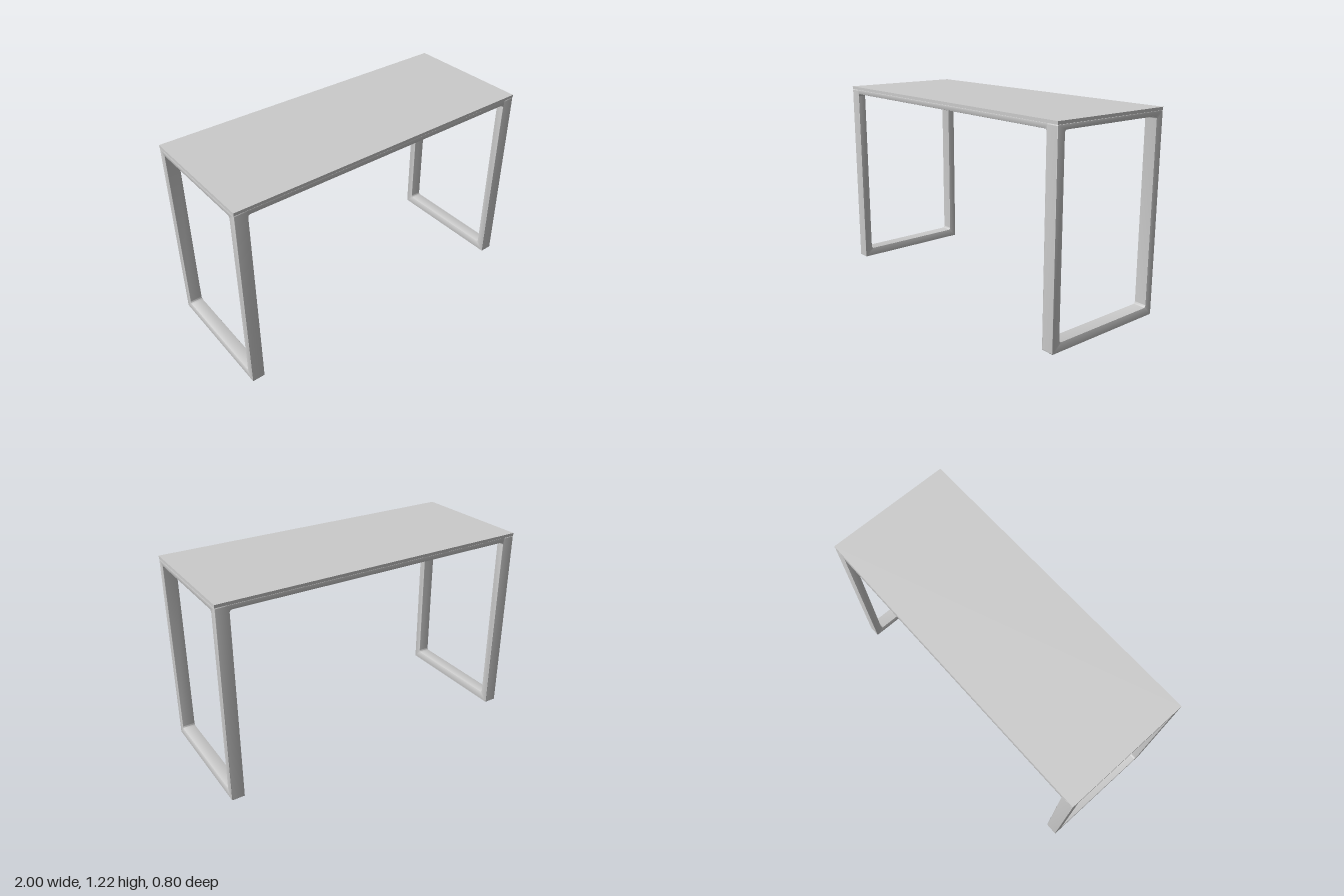
import * as THREE from 'three';
import { toCreasedNormals } from 'three/addons/utils/BufferGeometryUtils.js';

const W = 2, D = 0.8, H = 1.22;         // overall size
const topY = 1.202;                     // underside of the table top
const legX = 0.08, legZ = 0.05;         // section of the steel profile
const railY = 1.173;                    // underside of the upper rails
const bevel = 0.004, fillet = 0.015;

// Rounded rectangle outline, usable as a shape or a hole
function roundedRect(path, x0, y0, x1, y1, r) {
  path.moveTo(x0 + r, y0);
  path.lineTo(x1 - r, y0);
  path.absarc(x1 - r, y0 + r, r, -Math.PI / 2, 0);
  path.lineTo(x1, y1 - r);
  path.absarc(x1 - r, y1 - r, r, 0, Math.PI / 2);
  path.lineTo(x0 + r, y1);
  path.absarc(x0 + r, y1 - r, r, Math.PI / 2, Math.PI);
  path.lineTo(x0, y0 + r);
  path.absarc(x0 + r, y0 + r, r, Math.PI, Math.PI * 1.5);
  return path;
}

// Extrusion centred on its depth, with softened edges kept inside the outline
function extrude(shape, depth) {
  const g = new THREE.ExtrudeGeometry(shape, {
    depth: depth - 2 * bevel, bevelThickness: bevel, bevelSize: bevel,
    bevelOffset: -bevel, bevelSegments: 2, curveSegments: 6,
  });
  g.translate(0, 0, -depth / 2 + bevel);
  return toCreasedNormals(g, 0.6);
}

export function createModel() {
  const group = new THREE.Group();
  const material = new THREE.MeshStandardMaterial({ color: 0xcccccc });
  const add = (name, geometry, x, y, z) => {
    const mesh = new THREE.Mesh(geometry, material);
    mesh.name = name;
    mesh.position.set(x, y, z);
    group.add(mesh);
    return mesh;
  };

  // Thin flat top
  add('tableTop', new THREE.BoxGeometry(W, H - topY, D), 0, (H + topY) / 2, 0);

  // Closed leg frame: two legs, floor rail and upper rail in one loop
  const frame = roundedRect(new THREE.Shape(), -D / 2, 0, D / 2, topY, 0.006);
  frame.holes.push(roundedRect(new THREE.Path(),
    -D / 2 + legZ, 0.055, D / 2 - legZ, railY, fillet));
  const frameGeometry = extrude(frame, legX);
  frameGeometry.rotateY(Math.PI / 2);

  // Long rail with filleted ends running into the legs
  const inner = W / 2 - legX, end = inner + 0.01;
  const rail = new THREE.Shape();
  rail.moveTo(-end, topY);
  rail.lineTo(-end, railY - fillet);
  rail.lineTo(-inner, railY - fillet);
  rail.absarc(-inner + fillet, railY - fillet, fillet, Math.PI, Math.PI / 2, true);
  rail.lineTo(inner - fillet, railY);
  rail.absarc(inner - fillet, railY - fillet, fillet, Math.PI / 2, 0, true);
  rail.lineTo(end, railY - fillet);
  rail.lineTo(end, topY);
  const railGeometry = extrude(rail, legZ);

  for (const s of [1, -1]) {
    add(s > 0 ? 'leftLegFrame' : 'rightLegFrame', frameGeometry, s * (W - legX) / 2, 0, 0);
    add(s > 0 ? 'frontRail' : 'backRail', railGeometry, 0, 0, s * (D - legZ) / 2);
  }
  return group;
}
